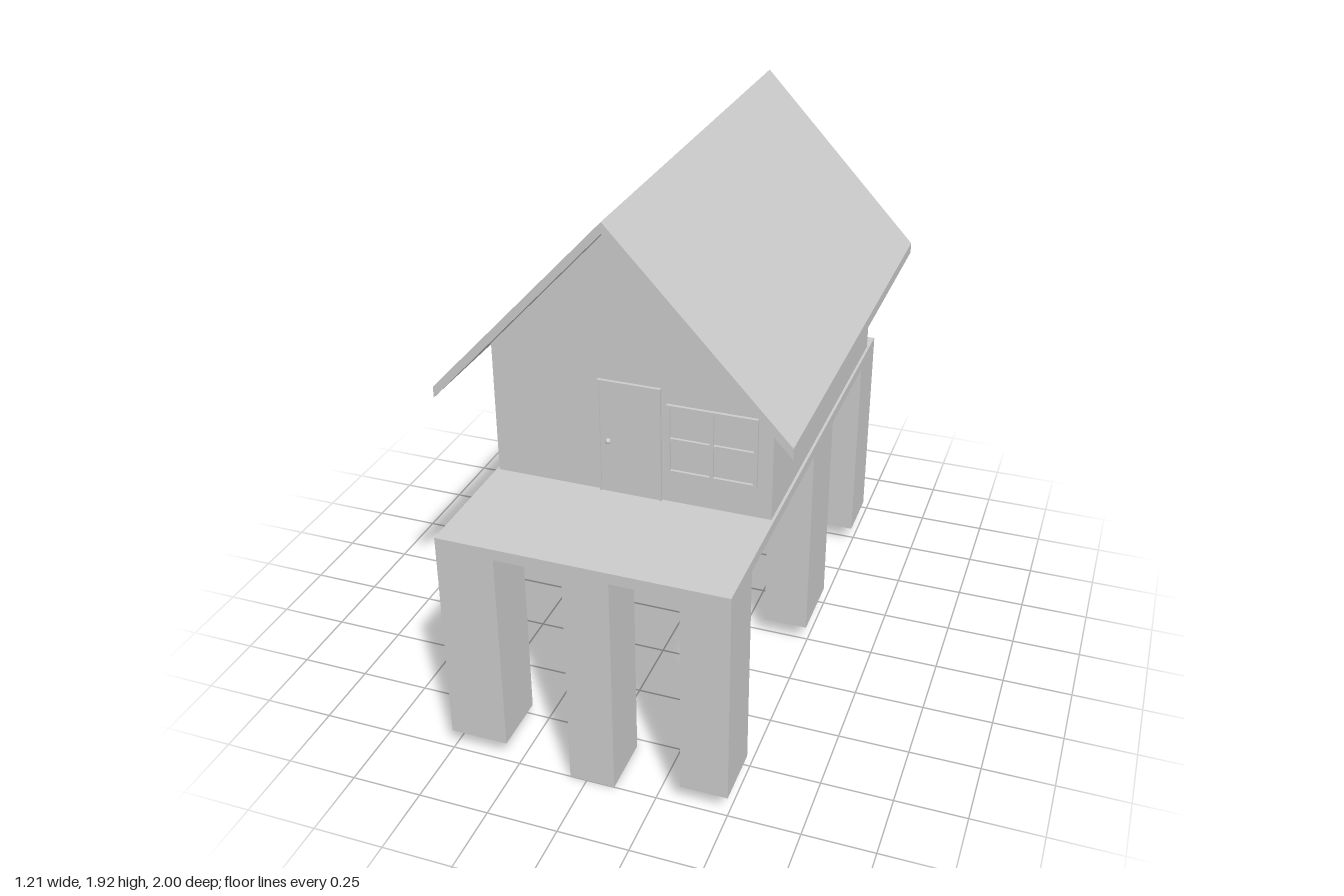
import * as THREE from 'three';

const material = new THREE.MeshStandardMaterial({ color: 0xcccccc, flatShading: true });

function add(parent, name, geometry) {
  const mesh = new THREE.Mesh(geometry, material);
  mesh.name = name;
  parent.add(mesh);
  return mesh;
}

// Box given by its extents along each axis
function box(parent, name, [x0, x1], [y0, y1], [z0, z1]) {
  const mesh = add(parent, name, new THREE.BoxGeometry(x1 - x0, y1 - y0, z1 - z0));
  mesh.position.set((x0 + x1) / 2, (y0 + y1) / 2, (z0 + z1) / 2);
  return mesh;
}

// Outline in x and y, extruded from z0 to z1
function prism(parent, name, points, z0, z1) {
  const shape = new THREE.Shape(points.map(([x, y]) => new THREE.Vector2(x, y)));
  const geometry = new THREE.ExtrudeGeometry(shape, { depth: z1 - z0, bevelEnabled: false });
  geometry.translate(0, 0, z0);
  return add(parent, name, geometry);
}

// Four-pane window, centred, with its back at z = 0
function createWindow(name) {
  const group = new THREE.Group();
  group.name = name;
  const w = 0.155, h = 0.127, border = 0.012, bar = 0.006;
  const frame = new THREE.Shape([[-w, -h], [w, -h], [w, h], [-w, h]].map(p => new THREE.Vector2(...p)));
  for (const sx of [-1, 1]) {
    for (const sy of [-1, 1]) {
      const x0 = sx * bar, x1 = sx * (w - border), y0 = sy * bar, y1 = sy * (h - border);
      frame.holes.push(new THREE.Path([[x0, y0], [x0, y1], [x1, y1], [x1, y0]].map(p => new THREE.Vector2(...p))));
    }
  }
  add(group, 'windowFrame', new THREE.ExtrudeGeometry(frame, { depth: 0.012, bevelEnabled: false }));
  box(group, 'windowPane', [-w + border, w - border], [-h + border, h - border], [-0.004, 0.002]);
  return group;
}

export function createModel() {
  const model = new THREE.Group();
  model.name = 'stiltHouse';

  // Deck
  box(model, 'deck', [-0.5, 0.5], [0.83, 0.87], [-0.92, 1]);

  // Stilts: three in the front and middle rows, two at the back
  const columns = { right: [-0.5, -0.295], centre: [-0.06, 0.1], left: [0.335, 0.5] };
  const rows = { front: [0.785, 1], middle: [-0.24, 0.03], back: [-0.92, -0.7] };
  for (const [row, z] of Object.entries(rows)) {
    for (const [column, x] of Object.entries(columns)) {
      if (row === 'back' && column === 'centre') continue;
      const foot = row === 'front' && column === 'centre' ? 0 : 0.075;
      box(model, `${row}Stilt_${column}`, x, [foot, 0.83], z);
    }
  }

  // Gabled walls and roof
  prism(model, 'walls', [[-0.49, 0.87], [0.49, 0.87], [0.49, 1.354], [0, 1.88], [-0.49, 1.354]], -0.83, 0.54);
  prism(model, 'roof', [[-0.607, 1.23], [0, 1.88], [0.607, 1.23], [0.607, 1.27], [0, 1.917], [-0.607, 1.27]], -1, 0.74);

  // Door with a thin surround and knob
  const door = new THREE.Group();
  door.name = 'door';
  model.add(door);
  prism(door, 'doorSurround', [
    [-0.11, 0.87], [-0.104, 0.87], [-0.104, 1.283], [0.104, 1.283],
    [0.104, 0.87], [0.11, 0.87], [0.11, 1.29], [-0.11, 1.29],
  ], 0.54, 0.552);
  box(door, 'doorPanel', [-0.104, 0.104], [0.87, 1.283], [0.53, 0.547]);
  const knob = add(door, 'doorKnob', new THREE.SphereGeometry(0.01, 12, 8));
  knob.position.set(-0.075, 1.067, 0.553);

  // Windows on the front and right walls
  const frontWindow = createWindow('frontWindow');
  frontWindow.position.set(0.285, 1.111, 0.54);
  const sideWindow = createWindow('sideWindow');
  sideWindow.position.set(-0.487, 1.111, -0.61);
  sideWindow.rotation.y = -Math.PI / 2;
  model.add(frontWindow, sideWindow);

  return model;
}
